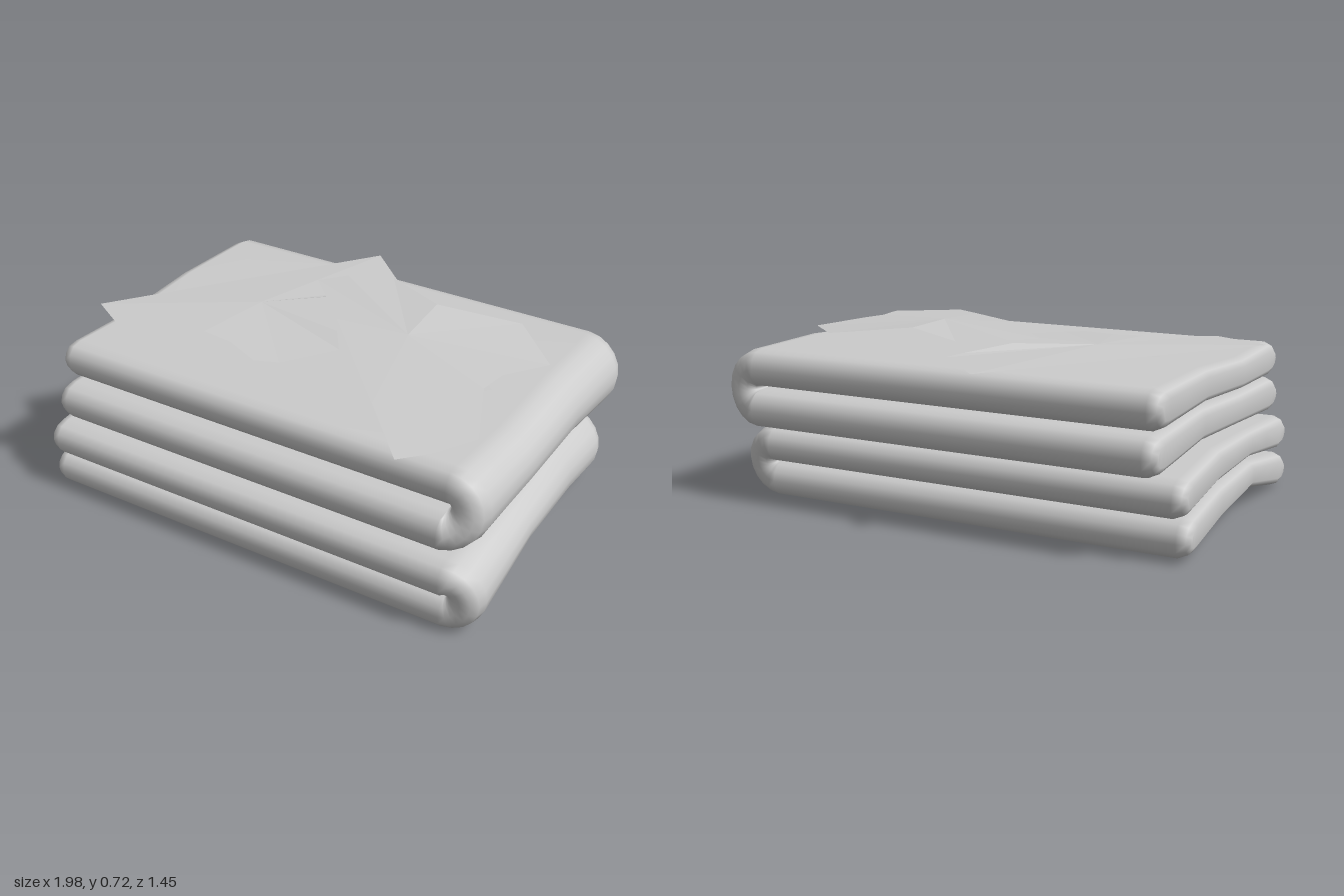
import * as THREE from 'three';

const material = new THREE.MeshStandardMaterial({ color: 0xcccccc });
const thinMaterial = new THREE.MeshStandardMaterial({ color: 0xcccccc, side: THREE.DoubleSide, flatShading: true });

const lerp = THREE.MathUtils.lerp;
const H = 0.32;        // nominal height of one folded blanket
const HALF = 0.074;    // half thickness of one layer

// Piecewise linear curve through [z, y] points
function curveAt(points, z) {
  if (z <= points[0][0]) return points[0][1];
  for (let i = 1; i < points.length; i++) {
    const [z0, y0] = points[i - 1], [z1, y1] = points[i];
    if (z <= z1) return lerp(y0, y1, (z - z0) / (z1 - z0));
  }
  return points[points.length - 1][1];
}

// Cross-section of a layer, counter-clockwise in (z, thickness)
function section(zBack, zFront, half) {
  const ring = [], r = 0.075, steps = 6;
  const stations = [-0.38, -0.17, 0.02, 0.22, 0.42];
  const end = (z, sign) => {
    for (let k = 0; k <= steps; k++) {
      const a = -Math.PI / 2 + (Math.PI * k) / steps;
      const round = Math.pow(Math.max(0, Math.cos(a)), 0.8) - 1;
      ring.push([z + sign * r * round, sign * half * Math.sin(a)]);
    }
  };
  end(zFront, 1);
  [...stations].reverse().forEach(z => ring.push([z, half]));
  end(zBack, -1);
  stations.forEach(z => ring.push([z, -half]));
  return ring;
}

// Blanket folded once: a U-shaped sweep, open on the right, then draped along z
function foldedBlanket({ name, lower, upper, foldX, skew, bottom, top }) {
  // Path stations: centre, outward normal, fold progress, end inset, thickness scale
  const path = [];
  const ends = [[0, 0.5, 0.03], [0.015, 0.8, 0.012], [0.05, 1, 0]];
  ends.forEach(([d, s, inset]) => path.push({ x: lower.x + d, y: H / 4, nx: 0, ny: -1, u: 0, s, inset }));
  path.push({ x: -0.1, y: H / 4, nx: 0, ny: -1, u: 0, s: 1, inset: 0 });
  const arc = 10;
  for (let k = 0; k <= arc; k++) {
    const a = -Math.PI / 2 + (Math.PI * k) / arc, c = Math.cos(a), s = Math.sin(a);
    path.push({
      x: foldX + (H / 4) * c, y: H / 2 + (H / 4) * s, nx: c, ny: s,
      u: k / arc, s: 1, inset: 0.02 * c,
    });
  }
  path.push({ x: -0.1, y: H * 0.75, nx: 0, ny: 1, u: 1, s: 1, inset: 0 });
  [...ends].reverse().forEach(([d, s, inset]) =>
    path.push({ x: upper.x + d, y: H * 0.75, nx: 0, ny: 1, u: 1, s, inset }));

  const positions = [], index = [];
  const addPoint = (x, y, z) =>
    positions.push(x + skew * z, lerp(curveAt(bottom, z), curveAt(top, z), y / H), z);
  let n = 0;
  for (const p of path) {
    const back = lerp(lower.back, upper.back, p.u) + p.inset;
    const front = lerp(lower.front, upper.front, p.u) - p.inset;
    const ring = section(back, front, HALF * p.s);
    n = ring.length;
    ring.forEach(([z, t]) => addPoint(p.x + p.nx * t, p.y + p.ny * t, z));
  }
  for (let i = 0; i < path.length - 1; i++) {
    for (let j = 0; j < n; j++) {
      const a = i * n + j, b = i * n + (j + 1) % n;
      index.push(a, b, a + n, b, b + n, a + n);
    }
  }
  // Cap strips join opposite points across each open end
  const last = (path.length - 1) * n;
  const arcN = 7, mids = 5;
  const topRow = [], botRow = [];
  for (let k = 3; k < arcN + mids + 4; k++) topRow.push(k);
  for (let k = 3; k > 3 - (arcN + mids + 1); k--) botRow.push((k + n) % n);
  for (let k = 0; k < topRow.length - 1; k++) {
    const a = topRow[k], b = topRow[k + 1], c = botRow[k], d = botRow[k + 1];
    index.push(a, c, b, b, c, d);
    index.push(last + a, last + b, last + c, last + b, last + d, last + c);
  }
  const geometry = new THREE.BufferGeometry();
  geometry.setAttribute('position', new THREE.Float32BufferAttribute(positions, 3));
  geometry.setIndex(index);
  geometry.computeVertexNormals();
  const mesh = new THREE.Mesh(geometry, material);
  mesh.name = name;
  return mesh;
}

// Thin sheet: a fan of triangles from a raised middle to an [x, y, z] outline
function sheet(name, centre, outline) {
  const positions = [];
  outline.forEach((p, i) => {
    positions.push(...centre, ...outline[(i + 1) % outline.length], ...p);
  });
  const geometry = new THREE.BufferGeometry();
  geometry.setAttribute('position', new THREE.Float32BufferAttribute(positions, 3));
  geometry.computeVertexNormals();
  const mesh = new THREE.Mesh(geometry, thinMaterial);
  mesh.name = name;
  return mesh;
}

export function createModel() {
  const group = new THREE.Group();
  group.name = 'foldedBlankets';

  group.add(foldedBlanket({
    name: 'lowerBlanket',
    lower: { x: -0.97, back: -0.55, front: 0.7 },
    upper: { x: -0.96, back: -0.58, front: 0.72 },
    foldX: 0.83, skew: 0.025,
    bottom: [[-0.53, 0.005], [-0.17, 0.06], [0.22, 0.09], [0.62, 0]],
    top: [[-0.55, 0.31], [-0.17, 0.35], [0.22, 0.335], [0.64, 0.31]],
  }));
  group.add(foldedBlanket({
    name: 'upperBlanket',
    lower: { x: -0.9, back: -0.65, front: 0.68 },
    upper: { x: -0.91, back: -0.64, front: 0.62 },
    foldX: 0.825, skew: -0.018,
    bottom: [[-0.55, 0.31], [-0.17, 0.352], [0.22, 0.338], [0.64, 0.318]],
    top: [[-0.55, 0.64], [-0.17, 0.648], [0.22, 0.625], [0.6, 0.643]],
  }));

  // Two torn sheets lying across the top
  group.add(sheet('lowerSheet', [-0.4, 0.672, -0.05], [
    [-0.97, 0.663, 0.3], [-0.22, 0.652, -0.73], [0.02, 0.656, -0.5], [-0.01, 0.662, -0.42],
    [-0.13, 0.685, -0.25], [0, 0.672, 0], [0.07, 0.655, 0.1], [-0.08, 0.65, 0.3],
    [-0.17, 0.652, 0.34], [-0.32, 0.66, 0.28], [-0.46, 0.665, 0.27], [-0.71, 0.658, 0.45],
  ]));
  group.add(sheet('upperSheet', [0.3, 0.722, -0.04], [
    [-0.26, 0.715, -0.27], [-0.17, 0.718, -0.37], [0, 0.712, -0.46], [0.28, 0.725, -0.32],
    [0.62, 0.69, -0.41], [0.84, 0.675, -0.19], [0.73, 0.692, 0], [0.71, 0.69, 0.12],
    [0.83, 0.664, 0.4], [0.73, 0.655, 0.55], [0.63, 0.652, 0.65], [0.4, 0.68, 0.41],
    [0, 0.725, 0],
  ]));
  return group;
}
